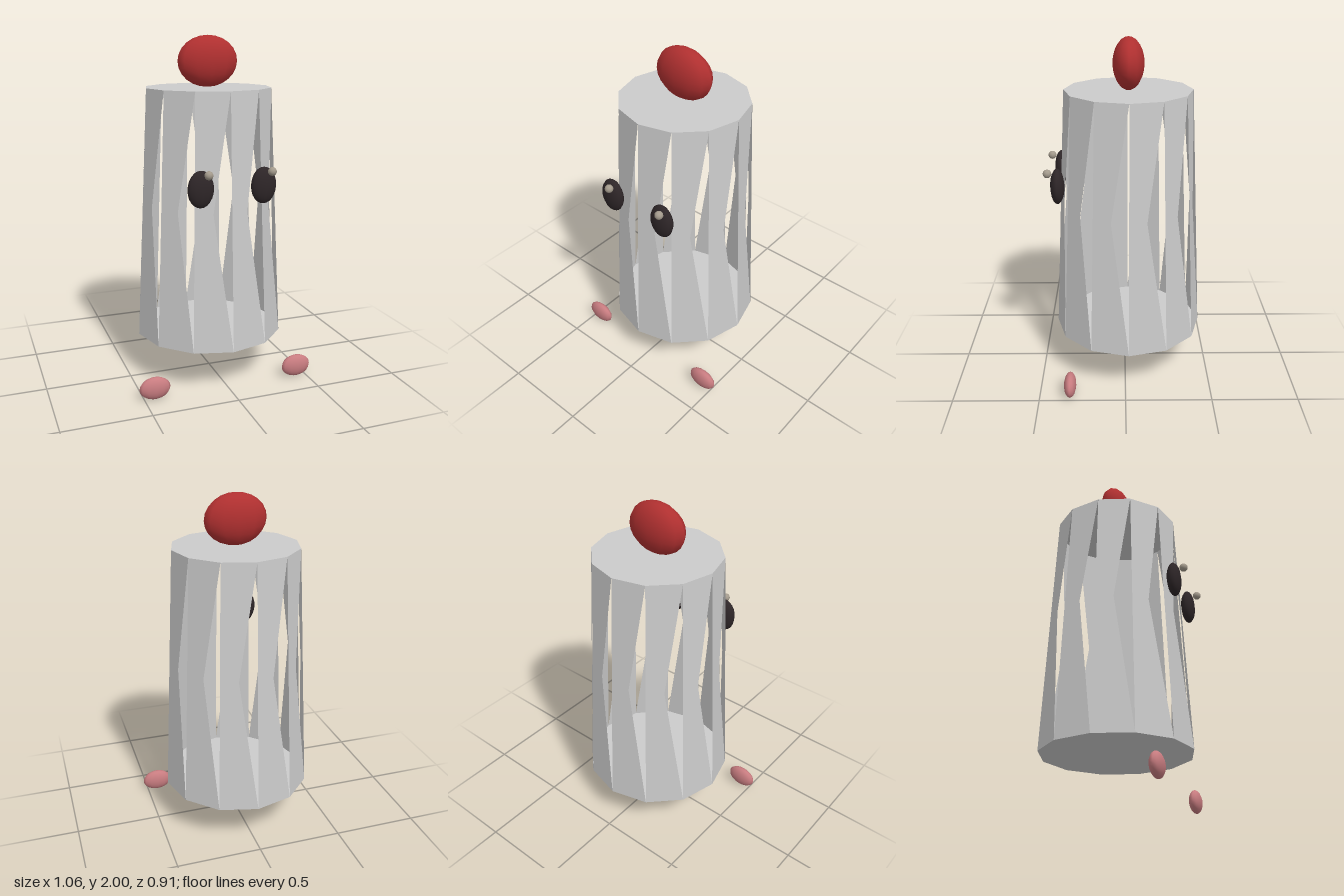
import * as THREE from 'three';

const SIDES = 12, CZ = -0.02;
const TOP = { r: 0.365, y: 1.71 }, BOTTOM = { r: 0.437, y: 0.255 };

function ringPoint({ r, y }, i) {
  const a = (i / SIDES) * Math.PI * 2;
  return [r * Math.sin(a), y, r * Math.cos(a)];
}

function meshFrom(name, triangles, material) {
  const geometry = new THREE.BufferGeometry();
  geometry.setAttribute('position', new THREE.Float32BufferAttribute(triangles.flat(), 3));
  geometry.computeVertexNormals();
  const mesh = new THREE.Mesh(geometry, material);
  mesh.name = name;
  return mesh;
}

function ellipsoid(name, color, position, radii) {
  const mesh = new THREE.Mesh(
    new THREE.SphereGeometry(1, 12, 12),
    new THREE.MeshStandardMaterial({ color })
  );
  mesh.name = name;
  mesh.position.set(...position);
  mesh.scale.set(...radii);
  return mesh;
}

export function createModel() {
  const model = new THREE.Group();
  model.name = 'model';

  // Tapered body: each side is two crossed triangles, leaving a slit on its right
  const grey = new THREE.MeshStandardMaterial({ color: 0xcccccc, flatShading: true, side: THREE.DoubleSide });
  const wall = [], lid = [], base = [];
  for (let i = 0; i < SIDES; i++) {
    const t0 = ringPoint(TOP, i), t1 = ringPoint(TOP, i + 1);
    const b0 = ringPoint(BOTTOM, i), b1 = ringPoint(BOTTOM, i + 1);
    wall.push(...t0, ...b0, ...b1, ...t0, ...b0, ...t1);
    lid.push(0, TOP.y, 0, ...t0, ...t1);
    base.push(0, BOTTOM.y, 0, ...b1, ...b0);
  }
  const body = new THREE.Group();
  body.name = 'body';
  body.position.z = CZ;
  body.add(meshFrom('wall', wall, grey), meshFrom('lid', lid, grey), meshFrom('base', base, grey));
  model.add(body);

  // Red knob on top
  model.add(ellipsoid('topKnob', 0xb03030, [0, 1.855, CZ], [0.18, 0.145, 0.089]));

  // Eyes with highlights, and feet
  for (const [side, s] of [['left', 1], ['right', -1]]) {
    model.add(
      ellipsoid(side + 'Eye', 0x2e2628, [s * 0.182, 1.2, 0.38], [0.075, 0.102, 0.04]),
      ellipsoid(side + 'EyeHighlight', 0xa39a8c, [s * 0.182 + 0.027, 1.283, 0.432], [0.024, 0.024, 0.024]),
      ellipsoid(side + 'Foot', 0xc87c80, [s * 0.438, 0.066, 0.323], [0.09, 0.066, 0.036])
    );
  }
  return model;
}
